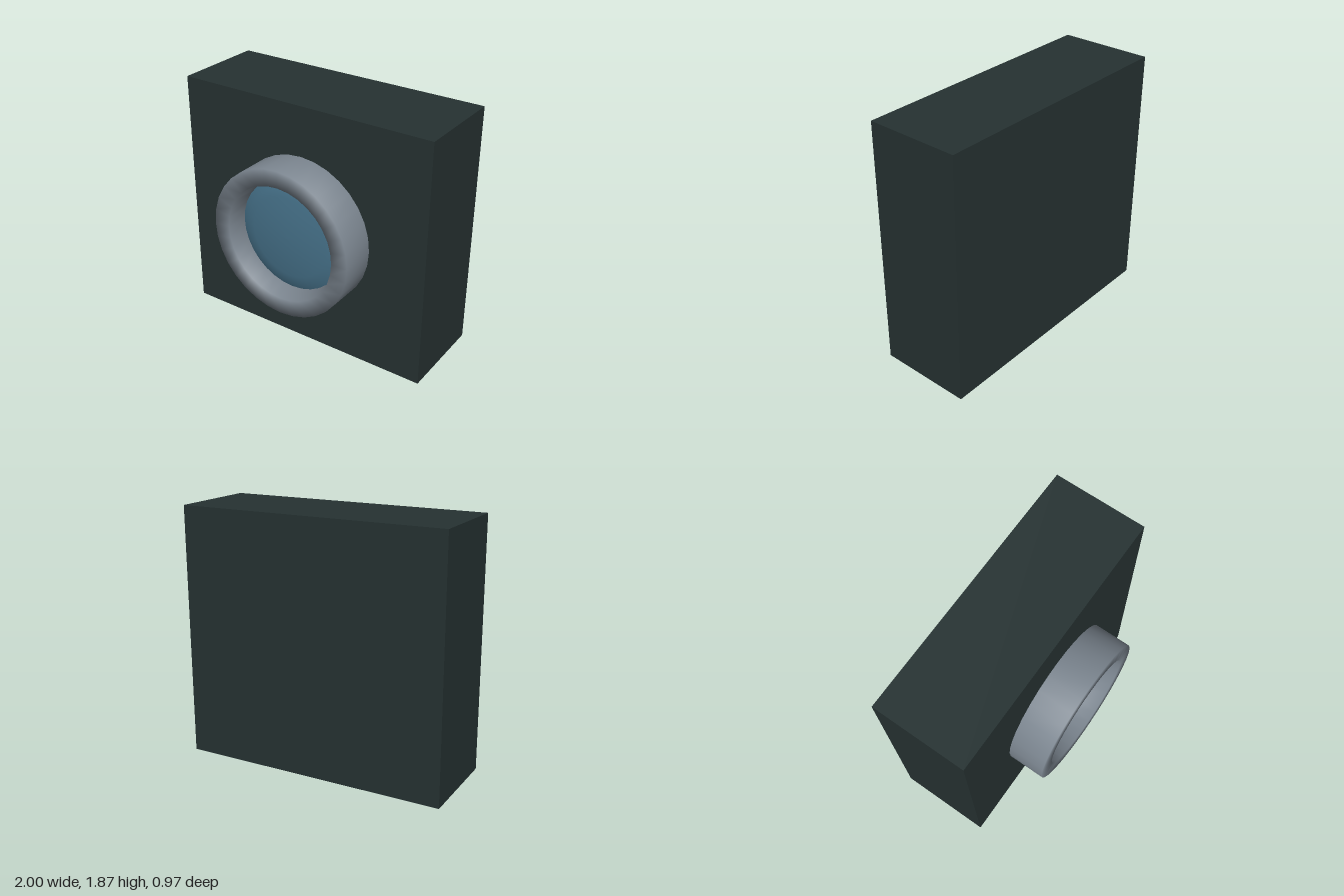
import * as THREE from 'three';

const material = (name, color) => {
  const m = new THREE.MeshStandardMaterial({ color });
  m.name = name;
  return m;
};

// Revolves a [radius, depth] profile around the z axis
function turned(name, profile, mat) {
  const points = profile.map(([r, d]) => new THREE.Vector2(r, d));
  const geometry = new THREE.LatheGeometry(points, 32).rotateX(Math.PI / 2);
  const mesh = new THREE.Mesh(geometry, mat);
  mesh.name = name;
  return mesh;
}

export function createModel() {
  const model = new THREE.Group();
  model.name = 'blockWithRoundLens';
  const height = 1.87, front = 0.21, back = -0.485;

  // Dark block
  const body = new THREE.Mesh(
    new THREE.BoxGeometry(2, height, front - back),
    material('dark slate', 0x263232)
  );
  body.name = 'body';
  body.position.set(0, height / 2, (front + back) / 2);
  model.add(body);

  const lensGroup = new THREE.Group();
  lensGroup.name = 'lensAssembly';
  lensGroup.position.set(0, height / 2, front);
  model.add(lensGroup);

  // Raised collar, softly shaded over the rim and into the bore
  lensGroup.add(turned('collar', [
    [0.565, 0], [0.565, 0.275], [0.44, 0.275], [0.422, 0.12], [0.422, 0]
  ], material('steel grey', 0x7a848e)));

  // Shallow domed glass set inside the collar
  const dome = [[0.422, 0.12]];
  for (let i = 1; i <= 8; i++) {
    const r = 0.415 * (1 - i / 8);
    dome.push([Math.max(r, 0), 0.135 + 0.04 * (1 - (r / 0.415) ** 2)]);
  }
  lensGroup.add(turned('lens', dome, material('blue glass', 0x457088)));

  return model;
}
